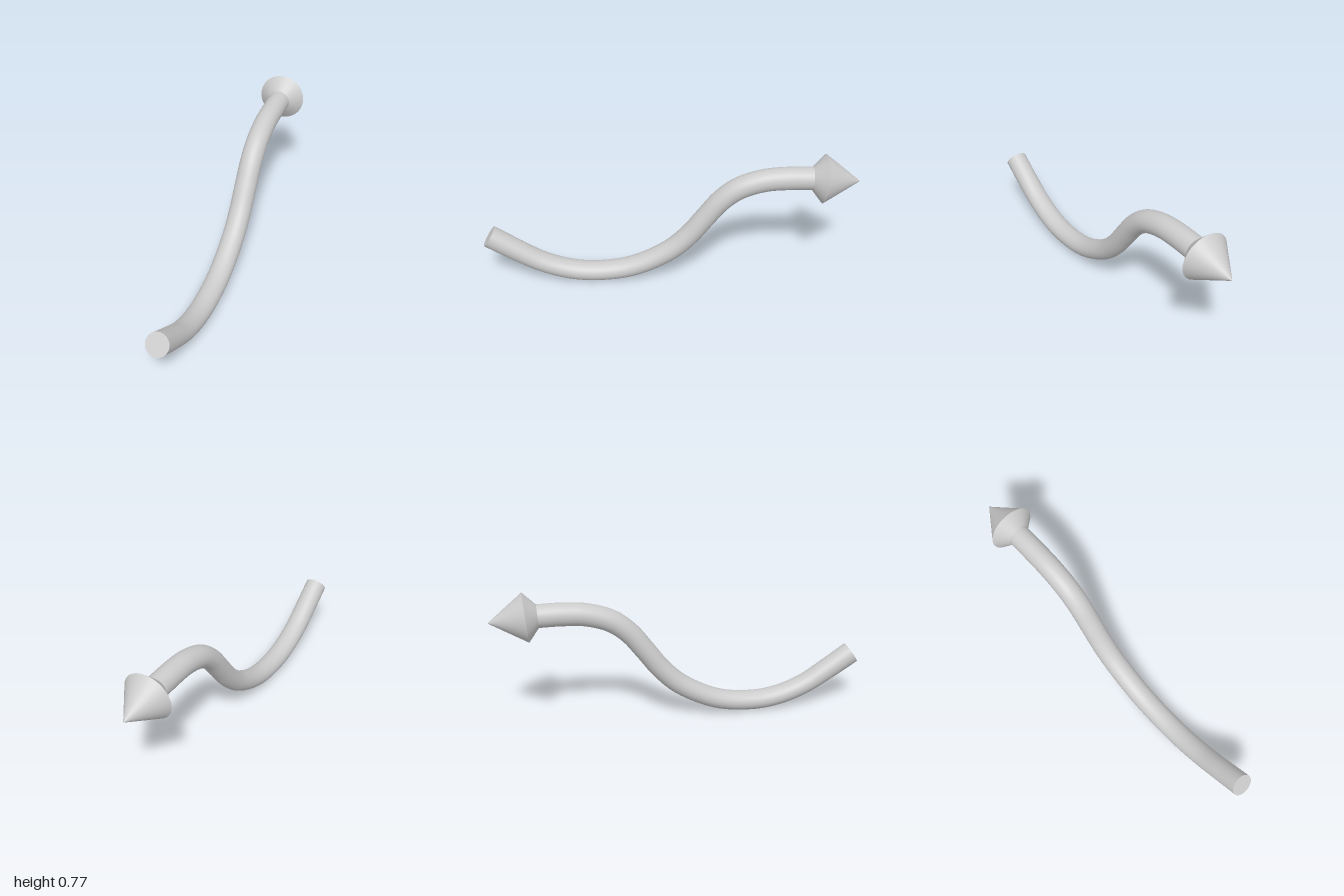
import * as THREE from 'three';

const material = new THREE.MeshStandardMaterial({ color: 0xcccccc });

// Centre line of the bent rod (x is always 0): [z, y, half thickness in the bending plane]
const stations = [
  [0.972, 0.291, 0.061], [0.84, 0.205, 0.058], [0.7, 0.122, 0.054], [0.55, 0.07, 0.053],
  [0.4, 0.055, 0.053], [0.2, 0.085, 0.054], [0, 0.187, 0.056], [-0.11, 0.29, 0.056],
  [-0.2, 0.41, 0.056], [-0.28, 0.512, 0.057], [-0.37, 0.584, 0.059], [-0.5, 0.63, 0.06],
  [-0.63, 0.642, 0.061], [-0.78, 0.642, 0.061],
];
const RADIUS = 0.061;

// Sweeps an oval section along the centre line
function sweptRod(steps, sides) {
  const path = new THREE.CatmullRomCurve3(stations.map(([z, y]) => new THREE.Vector3(0, y, z)));
  const thickness = new THREE.SplineCurve(stations.map(([, , r], i) => new THREE.Vector2(i, r)));
  const positions = [];
  const index = [];
  for (let i = 0; i <= steps; i++) {
    const t = i / steps;
    const centre = path.getPoint(t);
    const tangent = path.getTangent(t);
    const half = thickness.getPoint(t).y;
    for (let j = 0; j < sides; j++) {
      const a = (j / sides) * Math.PI * 2;
      const lift = Math.sin(a) * half;
      positions.push(Math.cos(a) * RADIUS, centre.y - tangent.z * lift, centre.z + tangent.y * lift);
      if (i < steps) {
        const k = (j + 1) % sides;
        const p = i * sides + j, q = i * sides + k;
        index.push(p, p + sides, q, q, p + sides, q + sides);
      }
    }
  }
  const geometry = new THREE.BufferGeometry();
  geometry.setAttribute('position', new THREE.Float32BufferAttribute(positions, 3));
  geometry.setIndex(index);
  geometry.computeVertexNormals();
  return { geometry, path };
}

export function createModel() {
  const model = new THREE.Group();
  model.name = 'curvedArrow';

  // Bent rod
  const { geometry, path } = sweptRod(120, 48);
  const rodMaterial = material.clone();
  rodMaterial.side = THREE.DoubleSide;
  const rod = new THREE.Mesh(geometry, rodMaterial);
  rod.name = 'shaft';
  model.add(rod);

  // Flat cap closing the front end
  const cap = new THREE.Mesh(new THREE.CircleGeometry(RADIUS, 48), material);
  cap.name = 'shaftEndCap';
  cap.position.copy(path.getPoint(0));
  cap.quaternion.setFromUnitVectors(new THREE.Vector3(0, 0, 1), path.getTangent(0).negate());
  model.add(cap);

  // Pointed head: flared collar and cone, tipped slightly downwards
  const head = new THREE.Group();
  head.name = 'arrowHead';
  const collar = new THREE.Mesh(new THREE.CylinderGeometry(0.129, 0.058, 0.063, 64, 1, true), material);
  collar.name = 'headCollar';
  collar.position.y = -0.0315;
  const point = new THREE.Mesh(new THREE.ConeGeometry(0.129, 0.191, 64, 4, true), material);
  point.name = 'headPoint';
  point.position.y = 0.0955;
  head.add(collar, point);
  head.position.set(0, 0.639, -0.81);
  head.quaternion.setFromUnitVectors(
    new THREE.Vector3(0, 1, 0), new THREE.Vector3(0, -0.085, -1).normalize());
  model.add(head);

  return model;
}
